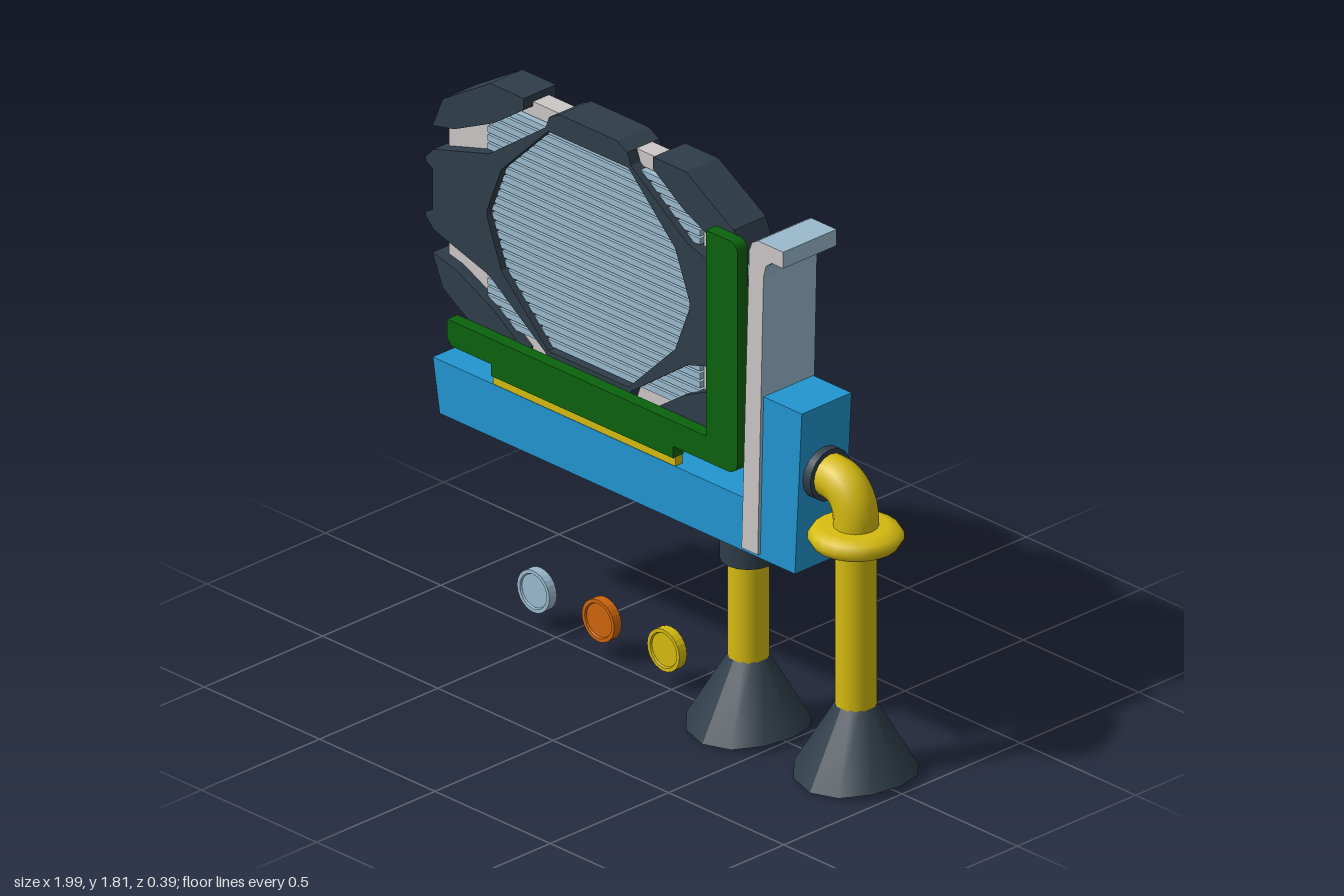
import * as THREE from 'three';

const mat = (name, color) => {
  const m = new THREE.MeshStandardMaterial({ color });
  m.name = name;
  return m;
};

export function createModel() {
  const root = new THREE.Group();
  root.name = 'mountedCard';
  const dark = mat('charcoal', 0x2f3d49), steel = mat('steelBlue', 0x9abace);
  const silver = mat('silver', 0xcbc7c6), green = mat('boardGreen', 0x0c620e);
  const yellow = mat('yellow', 0xd6bb10), blue = mat('blue', 0x2295d0);
  const orange = mat('orange', 0xcf660c);
  const darkOpen = mat('charcoalOpen', 0x2f3d49);
  darkOpen.side = THREE.DoubleSide;

  const add = (name, geo, material, x = 0, y = 0, z = 0, parent = root) => {
    const m = new THREE.Mesh(geo, material);
    m.name = name;
    m.position.set(x, y, z);
    parent.add(m);
    return m;
  };
  const v2 = ([x, y]) => new THREE.Vector2(x, y);
  const shapeOf = (pts, hole) => {
    const s = new THREE.Shape(pts.map(v2));
    if (hole) s.holes.push(hole);
    return s;
  };
  const slab = (shape, z0, z1) =>
    new THREE.ExtrudeGeometry(shape, { depth: z1 - z0, bevelEnabled: false, curveSegments: 20 }).translate(0, 0, z0);
  // Mirrors a quarter outline into a full closed loop
  const loop4 = (q) => {
    const r = [...q].reverse();
    return [...q, ...r.map(([x, y]) => [-x, y]), ...q.map(([x, y]) => [-x, -y]), ...r.map(([x, y]) => [x, -y])];
  };
  const pathOf = (pts) => new THREE.Path(pts.map(v2));
  const circle = (r) => new THREE.Path().absarc(0, 0, r, 0, Math.PI * 2, true);

  // Base with upright end block
  add('base', slab(shapeOf([[-0.93, 0.83], [-0.9, 0.65], [0.64, 0.65], [0.67, 1.2], [0.46, 1.2], [0.46, 0.83]]), -0.108, 0.102), blue);

  // Mounting bracket with bent lip: silver edges, steel faces
  add('bracket', slab(shapeOf([[0.42, 0.665], [0.49, 0.665], [0.515, 1.61], [0.525, 1.65], [0.55, 1.67],
    [0.6, 1.67], [0.6, 1.725], [0.49, 1.725], [0.465, 1.71], [0.453, 1.68]]), -0.113, 0.113), [silver, steel]);

  // Circuit board: L shape with rounded right corners and a tongue
  const pcb = new THREE.Shape();
  pcb.moveTo(-0.86, 0.985);
  pcb.lineTo(-0.86, 0.92);
  pcb.lineTo(-0.84, 0.9);
  pcb.lineTo(-0.67, 0.9);
  pcb.lineTo(-0.67, 0.86);
  pcb.lineTo(0.12, 0.86);
  pcb.lineTo(0.12, 0.9);
  pcb.lineTo(0.35, 0.9);
  pcb.quadraticCurveTo(0.4, 0.9, 0.4, 0.95);
  pcb.lineTo(0.4, 1.64);
  pcb.quadraticCurveTo(0.4, 1.68, 0.36, 1.68);
  pcb.lineTo(0.262, 1.68);
  pcb.lineTo(0.262, 0.985);
  add('circuitBoard', slab(pcb, 0.066, 0.11), green);
  add('edgeConnector', new THREE.BoxGeometry(0.79, 0.06, 0.03), yellow, -0.275, 0.835, 0.085);

  // Ports between the card and the bracket
  [1.575, 1.455, 1.33, 1.21, 1.085].forEach((y) =>
    add('port', new THREE.BoxGeometry(0.12, 0.09, 0.06), steel, 0.41, y, -0.005));

  // Cooler, built around its own centre
  const cooler = new THREE.Group();
  cooler.name = 'cooler';
  cooler.position.set(-0.294, 1.37, 0);
  root.add(cooler);
  const addC = (name, geo, m) => add(name, geo, m, 0, 0, 0, cooler);

  const opening = loop4([[0.44, 0.008], [0.377, 0.17], [0.174, 0.37]]);
  const ring = loop4([[0.676, 0.07], [0.705, 0.085], [0.705, 0.1], [0.672, 0.135], [0.43, 0.205],
    [0.185, 0.38], [0.17, 0.42], [0.125, 0.444]]);
  addC('shroudRing', slab(shapeOf(ring, pathOf(opening)), -0.07, 0.065), dark);
  addC('fanPlate', slab(shapeOf(opening, circle(0.345)), -0.07, -0.045), dark);

  const corner = [[0.676, 0.214], [0.63, 0.32], [0.425, 0.444], [0.28, 0.444], [0.28, 0.405], [0.41, 0.315], [0.58, 0.235]];
  for (const sx of [1, -1]) for (const sy of [1, -1])
    addC('shroudCorner', slab(shapeOf(corner.map(([x, y]) => [x * sx, y * sy])), -0.072, 0.065), dark);

  const plate = loop4([[0.645, 0.05], [0.645, 0.23], [0.6, 0.3], [0.41, 0.42]]);
  addC('trimFrame', slab(shapeOf(plate, pathOf(loop4([[0.46, 0.37]]))), -0.03, 0.025), silver);
  addC('trimBack', slab(shapeOf(plate, pathOf(opening)), -0.042, -0.03), silver);

  // Stacked cooling fins
  const fins = 26, pitch = 0.74 / fins;
  for (let i = 0; i < fins; i++)
    add('fin', new THREE.BoxGeometry(0.92, pitch * 0.74, 0.07), steel, 0, -0.37 + pitch * (i + 0.5), 0.007, cooler);

  // Fan with swept blades
  const blades = 13;
  for (let i = 0; i < blades; i++) {
    const a0 = (i / blades) * Math.PI * 2, a = [], b = [];
    for (let k = 0; k <= 6; k++) {
      const t = k / 6, r = 0.09 + 0.25 * t, mid = a0 + 0.6 * t * t, w = 0.17 - 0.04 * t;
      a.push([r * Math.cos(mid - w), r * Math.sin(mid - w)]);
      b.unshift([r * Math.cos(mid + w), r * Math.sin(mid + w)]);
    }
    addC('fanBlade', slab(shapeOf([...a, ...b]), -0.058, -0.044), dark);
  }
  const hub = addC('fanHub', new THREE.CylinderGeometry(0.11, 0.11, 0.03, 24).rotateX(Math.PI / 2), steel);
  hub.position.z = -0.052;

  // Standing pipes with flared, saddle-cut feet
  const pipe = (x, top) => {
    add('pipe', new THREE.CylinderGeometry(0.0635, 0.0635, top - 0.23, 16), yellow, x, (top + 0.23) / 2, 0);
    const foot = new THREE.CylinderGeometry(0.063, 0.195, 0.24, 12, 1, true).translate(0, 0.12, 0);
    const p = foot.attributes.position;
    for (let i = 0; i < p.count; i++)
      if (p.getY(i) < 0.1) p.setY(i, 0.025 * (p.getX(i) / 0.195) ** 2);
    foot.computeVertexNormals();
    add('flaredFoot', foot, darkOpen, x, 0, 0);
  };
  pipe(0.334, 0.6);
  pipe(0.8, 0.8);
  add('pipeCollar', new THREE.CylinderGeometry(0.088, 0.088, 0.088, 16), dark, 0.334, 0.608, 0);

  // Elbow joining the outer pipe to the end block
  const bend = new THREE.CurvePath();
  const p3 = (x, y) => new THREE.Vector3(x, y, 0);
  bend.add(new THREE.LineCurve3(p3(0.8, 0.78), p3(0.8, 0.85)));
  bend.add(new THREE.CubicBezierCurve3(p3(0.8, 0.85), p3(0.8, 0.915), p3(0.765, 0.967), p3(0.7, 0.967)));
  bend.add(new THREE.LineCurve3(p3(0.7, 0.967), p3(0.66, 0.967)));
  add('elbow', new THREE.TubeGeometry(bend, 24, 0.07, 16), yellow);
  add('elbowCollar', new THREE.CylinderGeometry(0.086, 0.086, 0.045, 16).rotateZ(Math.PI / 2), dark, 0.667, 0.967, 0);
  add('flange', new THREE.LatheGeometry([[0, -0.035], [0.1, -0.035], [0.135, -0.025], [0.149, 0], [0.135, 0.022],
    [0.1, 0.035], [0, 0.035]].map(v2), 20), yellow, 0.8, 0.803, 0);

  // Coins with raised rims
  const coinProfile = [[0, -0.01], [0.055, -0.01], [0.058, -0.016], [0.07, -0.016], [0.07, 0.016], [0.058, 0.016], [0.055, 0.01], [0, 0.01]];
  [[-0.583, steel], [-0.302, orange], [-0.019, yellow]].forEach(([x, m]) =>
    add('coin', new THREE.LatheGeometry(coinProfile.map(v2), 24).rotateX(Math.PI / 2).toNonIndexed(), m, x, 0.131, 0)
      .geometry.computeVertexNormals());

  return root;
}
